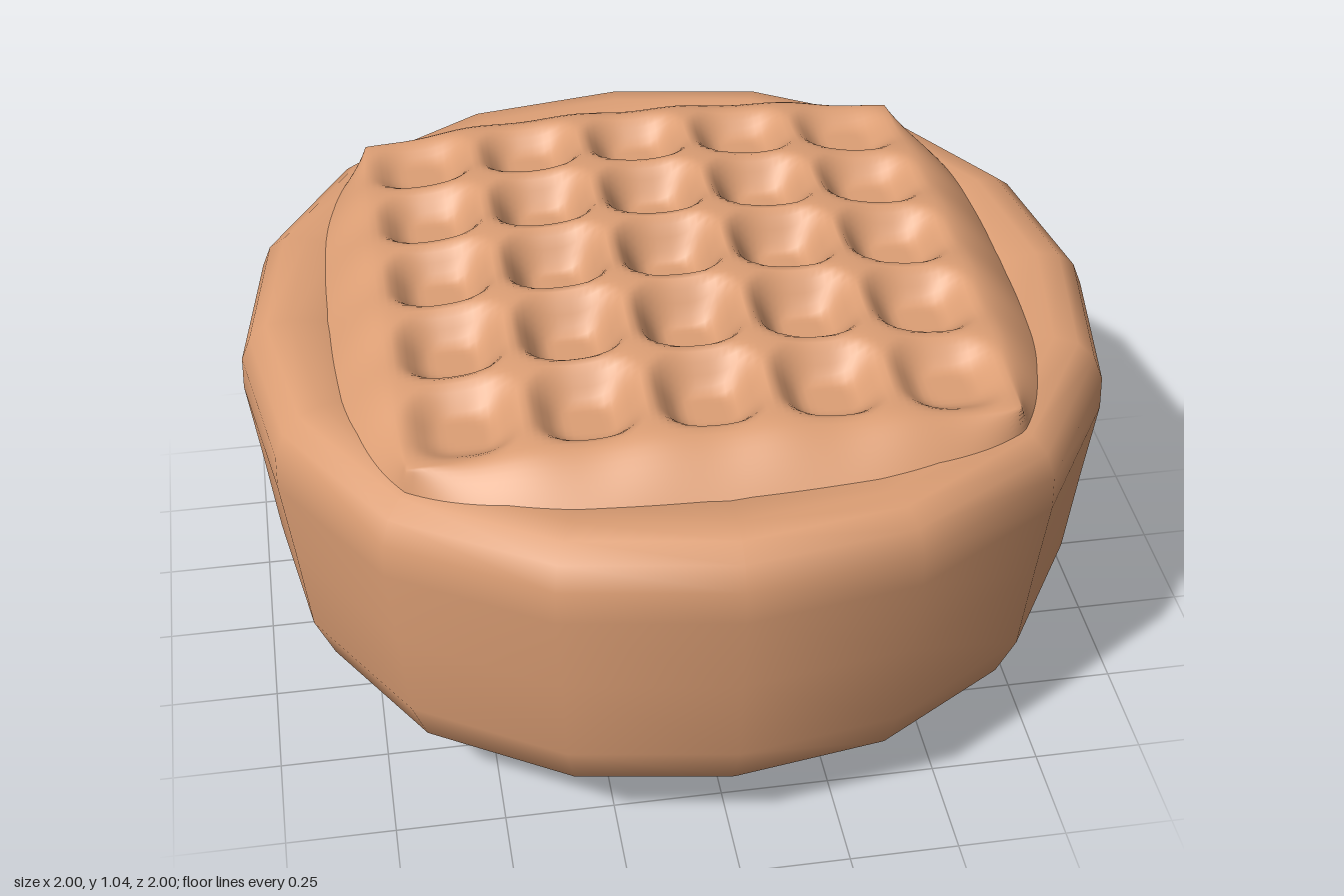
import * as THREE from 'three';

const crust = new THREE.MeshStandardMaterial({ name: 'bakedCrust', color: 0xdd9f75 });

// Rounded tub with sixteen sides, slightly fuller on the diagonals
function makeBody() {
  const profile = [
    [0, 0.005], [0.35, 0.018], [0.63, 0.06], [0.81, 0.125], [0.905, 0.21], [0.95, 0.32],
    [0.975, 0.54], [1, 0.74], [0.997, 0.82], [0.975, 0.875], [0.935, 0.908], [0.88, 0.916],
    [0.8, 0.905], [0.7, 0.86], [0, 0.86],
  ].map(([r, y]) => new THREE.Vector2(r, y));
  const geo = new THREE.LatheGeometry(profile, 16);
  const normals = geo.attributes.normal.clone();
  const pos = geo.attributes.position;
  for (let i = 0; i < pos.count; i++) {
    const a = Math.atan2(pos.getX(i), pos.getZ(i));
    const k = 1 + 0.03 * Math.sin(2 * a) ** 2;
    pos.setX(i, pos.getX(i) * k);
    pos.setZ(i, pos.getZ(i) * k);
  }
  geo.setAttribute('normal', normals);
  return new THREE.Mesh(geo, crust);
}

const PITCH = 0.265, HALF = 0.66, FLOOR = 0.94;

// Height of the domed square with five by five pressed cups
function topHeight(x, z) {
  const dome = 1.035 - 0.09 * (x * x + z * z);
  const wave = (c) => Math.cos((2 * Math.PI * c) / PITCH);
  const ribs = dome - 0.004 * (wave(x) + wave(z));
  const dx = Math.abs(x - PITCH * THREE.MathUtils.clamp(Math.round(x / PITCH), -2, 2));
  const dz = Math.abs(z - PITCH * THREE.MathUtils.clamp(Math.round(z / PITCH), -2, 2));
  const r = Math.cbrt(dx ** 3 + dz ** 3) / (PITCH / 2);
  const cup = 1 - THREE.MathUtils.smoothstep(r, 0.4, 1);
  return ribs + (Math.min(FLOOR, ribs) - ribs) * cup;
}

// Waffled lid: a square grid whose outer band curves down to a bulging edge
function makeTop() {
  const inner = 0.84;
  const geo = new THREE.PlaneGeometry(2, 2, 100, 100).rotateX(-Math.PI / 2);
  const pos = geo.attributes.position;
  for (let i = 0; i < pos.count; i++) {
    const u = pos.getX(i), v = pos.getZ(i);
    const m = Math.max(Math.abs(u), Math.abs(v));
    if (m <= inner + 1e-6) {
      const x = (u / inner) * HALF, z = (v / inner) * HALF;
      pos.setXYZ(i, x, topHeight(x, z), z);
      continue;
    }
    const t = (m - inner) / (1 - inner);
    const x = (u / m) * HALF, z = (v / m) * HALF;
    const n = Math.min(Math.abs(x), Math.abs(z));
    const edge = 0.805 - 0.135 * (n / HALF) ** 4;
    const k = 1 + t * (edge / HALF - 1);
    const side = 1 + 0.015 * t;
    const alongX = Math.abs(u) >= Math.abs(v);
    const corner = Math.abs(Math.abs(u) - Math.abs(v)) < 1e-6;
    const y0 = topHeight(x, z);
    pos.setXYZ(i, x * (alongX || corner ? k : side), y0 + (0.89 - y0) * t ** 1.6,
      z * (!alongX || corner ? k : side));
  }
  geo.computeVertexNormals();
  return new THREE.Mesh(geo, crust);
}

export function createModel() {
  const model = new THREE.Group();
  model.name = 'waffleTopPie';
  const body = makeBody();
  body.name = 'body';
  const top = makeTop();
  top.name = 'waffleTop';
  model.add(body, top);
  return model;
}
